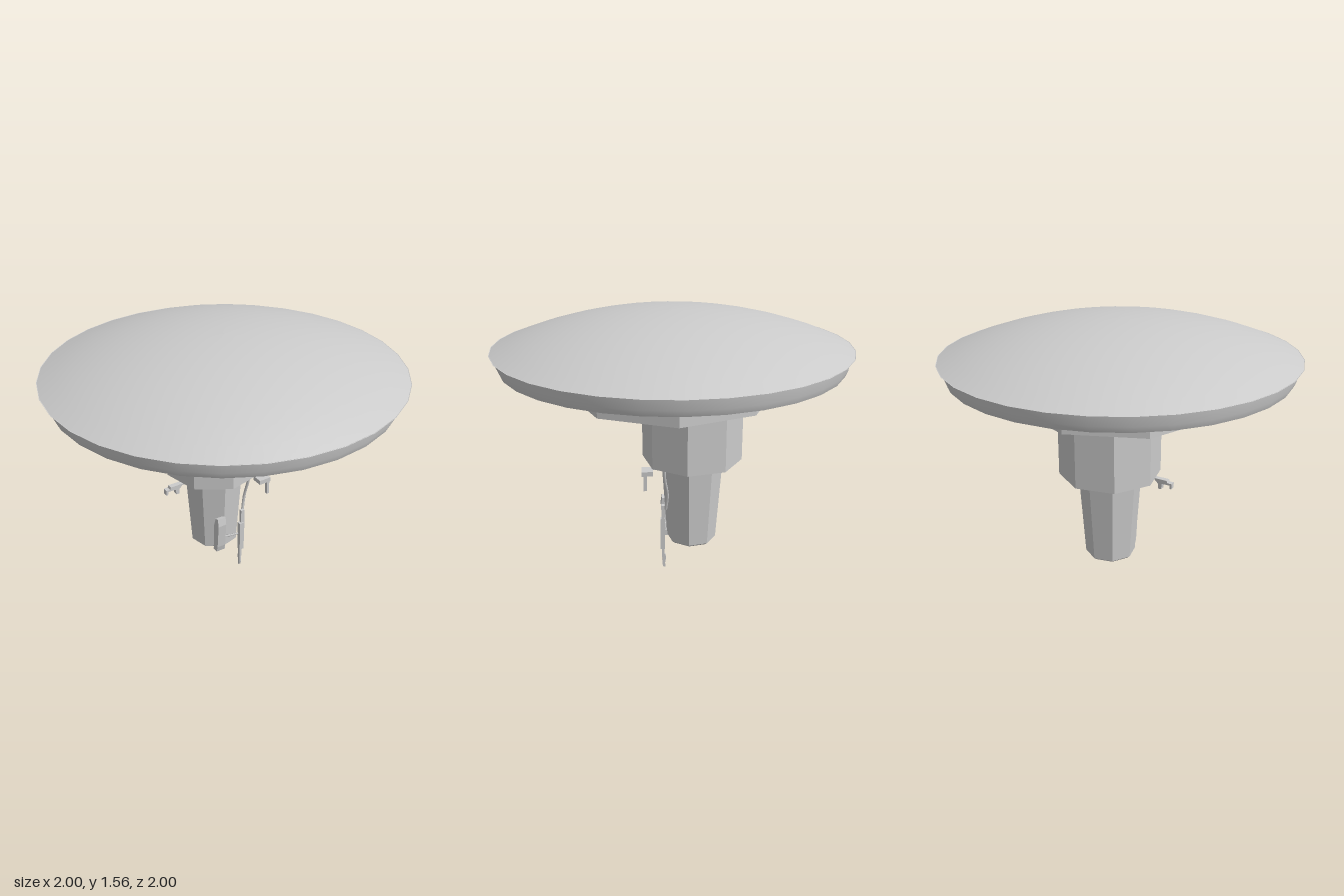
import * as THREE from 'three';

const AXIS_Z = -0.115; // axis of the neck and column, set back from the centre

export function createModel() {
  const model = new THREE.Group();
  const smooth = new THREE.MeshStandardMaterial({ color: 0xcccccc, side: THREE.DoubleSide });
  const flat = new THREE.MeshStandardMaterial({ color: 0xcccccc, flatShading: true });

  const add = (name, geometry, material, x = 0, y = 0, z = 0) => {
    const mesh = new THREE.Mesh(geometry, material);
    mesh.name = name;
    mesh.position.set(x, y, z);
    model.add(mesh);
    return mesh;
  };
  const lathe = (name, points) =>
    add(name, new THREE.LatheGeometry(points.map(p => new THREE.Vector2(...p)), 32), smooth);
  const octagon = (name, rTop, rBottom, y0, y1, z, turn) =>
    add(name, new THREE.CylinderGeometry(rTop, rBottom, y1 - y0, 8, 1, false, turn), flat, 0, (y0 + y1) / 2, z);
  // Box given by its low and high corners
  const box = (name, a, b) =>
    add(name, new THREE.BoxGeometry(b[0] - a[0], b[1] - a[1], b[2] - a[2]), flat,
      (a[0] + b[0]) / 2, (a[1] + b[1]) / 2, (a[2] + b[2]) / 2);
  // Flat outline in xy, extruded along z and centred on it
  const plate = (name, points, depth) => {
    const shape = new THREE.Shape(points.map(p => new THREE.Vector2(...p)));
    const g = new THREE.ExtrudeGeometry(shape, { depth, bevelEnabled: false });
    return add(name, g.translate(0, 0, -depth / 2), flat);
  };

  // Canopy: shallow spherical dome, stepped rim and flat underside
  const dome = [];
  for (let i = 0; i <= 10; i++) {
    const r = 1 - i / 10;
    dome.push([r, 1.56 - 2.6 + Math.sqrt(2.6 * 2.6 - r * r)]);
  }
  lathe('canopyDome', dome);
  lathe('canopyLip', [[0.975, 1.355], [1, 1.362]]);
  lathe('canopyRim', [[0.955, 1.268], [0.968, 1.3], [0.975, 1.357]]);
  lathe('canopyBottomRing', [[0.895, 1.265], [0.955, 1.268]]);
  lathe('canopyRecess', [[0.89, 1.275], [0.895, 1.265]]);
  lathe('canopyUnderside', [[0, 1.275], [0.89, 1.275]]);

  // Drum, neck and tapered column
  octagon('drum', 0.585, 0.585, 1.08, 1.28, 0, 0);
  const turn = 0.62;
  octagon('neck', 0.293, 0.293, 0.685, 1.055, AXIS_Z, turn);
  octagon('column', 0.183, 0.147, 0.172, 0.69, AXIS_Z, turn);
  octagon('columnFoot', 0.147, 0.133, 0.16, 0.172, AXIS_Z, turn);
  box('footClip', [-0.04, 0.153, -0.17], [0.04, 0.163, -0.08]);

  // Ring of pegs between neck and drum
  for (let i = 0; i < 12; i++) {
    const a = (i + 0.5) * Math.PI / 6;
    add('peg', new THREE.CylinderGeometry(0.02, 0.02, 0.05, 6), flat,
      0.235 * Math.sin(a), 1.068, AXIS_Z + 0.235 * Math.cos(a));
  }

  // Side hook, bent down at its end
  const sideHook = plate('sideHook', [
    [-0.14, 0.685], [-0.34, 0.685], [-0.345, 0.672], [-0.37, 0.672], [-0.37, 0.64], [-0.36, 0.64],
    [-0.358, 0.66], [-0.31, 0.66], [-0.305, 0.625], [-0.285, 0.625], [-0.285, 0.655],
    [-0.265, 0.675], [-0.14, 0.675]], 0.03);
  sideHook.position.z = -0.05;

  // Front hook: arm under the neck with a hanging prong
  box('frontHookArm', [0.13, 0.672, -0.02], [0.15, 0.685, 0.13]);
  box('frontHookBar', [0.13, 0.655, 0.12], [0.205, 0.682, 0.185]);
  box('frontHookProng', [0.19, 0.565, 0.155], [0.205, 0.67, 0.175]);

  // Bent strap from the neck down to the lever
  const strapPath = new THREE.CatmullRomCurve3([
    [0.15, 0.68, 0.055], [0.14, 0.6, 0.05], [0.125, 0.5, 0.035], [0.105, 0.4, 0.045]
  ].map(p => new THREE.Vector3(...p)));
  add('strap', new THREE.TubeGeometry(strapPath, 12, 0.009, 5), smooth);

  // Lever with a stepped body and thin tail
  box('leverTop', [0.08, 0.28, 0.052], [0.105, 0.42, 0.07]);
  box('leverBody', [0.068, 0.13, 0.05], [0.098, 0.33, 0.076]);
  box('leverStem', [0.073, 0.07, 0.052], [0.088, 0.14, 0.068]);
  const tail = plate('leverTail', [
    [-0.008, 0.09], [-0.012, 0.06], [-0.006, 0.03], [-0.008, 0.002], [0.004, 0], [0.01, 0.02],
    [0.008, 0.06], [0.004, 0.09]], 0.012);
  tail.rotation.y = -Math.PI / 2;
  tail.position.set(0.081, 0, 0.055);

  // Grip plate leaning on the column, tied to the lever by a rod
  const grip = plate('gripPlate', [
    [0.01, 0.16], [0.045, 0.16], [0.055, 0.2], [0.068, 0.36], [0.06, 0.41],
    [0.035, 0.405], [0.015, 0.34]], 0.055);
  grip.rotation.y = -Math.PI / 2;
  grip.position.x = -0.055;
  box('gripBase', [-0.07, 0.16, 0.0], [-0.02, 0.2, 0.045]);
  const rodPath = new THREE.CatmullRomCurve3([
    [-0.05, 0.27, 0.045], [0, 0.25, 0.045], [0.08, 0.245, 0.055]
  ].map(p => new THREE.Vector3(...p)));
  add('rod', new THREE.TubeGeometry(rodPath, 8, 0.006, 5), smooth);

  return model;
}
